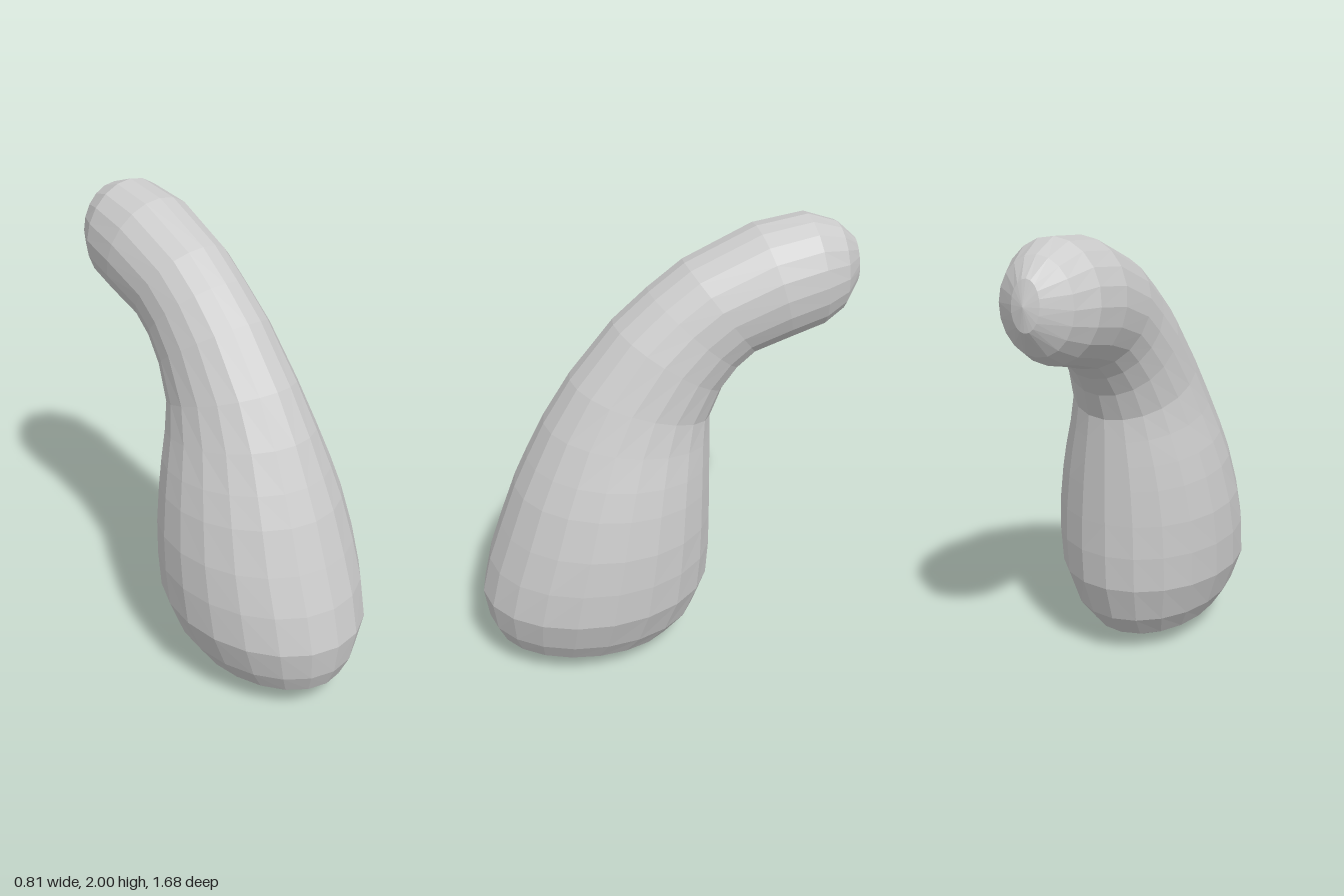
import * as THREE from 'three';

// Cross-sections from base to tip: front z, y, back z, y, half width
const SECTIONS = [
  [0.42, 0.0, 0.42, 0.0, 0],
  [0.58, 0.03, 0.2, 0.015, 0.12],
  [0.7, 0.075, 0.06, 0.045, 0.21],
  [0.78, 0.13, -0.03, 0.09, 0.28],
  [0.82, 0.22, -0.12, 0.2, 0.345],
  [0.84, 0.36, -0.18, 0.37, 0.4],
  [0.8, 0.53, -0.19, 0.53, 0.405],
  [0.74, 0.7, -0.19, 0.68, 0.395],
  [0.67, 0.89, -0.19, 0.84, 0.365],
  [0.61, 1.02, -0.19, 0.95, 0.335],
  [0.53, 1.18, -0.19, 1.06, 0.295],
  [0.41, 1.37, -0.19, 1.16, 0.26],
  [0.22, 1.6, -0.24, 1.28, 0.235],
  [0.07, 1.73, -0.31, 1.37, 0.222],
  [-0.08, 1.84, -0.38, 1.43, 0.222],
  [-0.38, 1.97, -0.52, 1.475, 0.232],
  [-0.6, 2.0, -0.66, 1.515, 0.215],
  [-0.73, 1.955, -0.75, 1.57, 0.16],
  [-0.81, 1.88, -0.83, 1.68, 0.06],
  [-0.84, 1.78, -0.84, 1.78, 0],
];
const SIDES = 20;

// Point on the elliptical ring of section i, starting at the front
function ringPoint(i, j) {
  const [zf, yf, zb, yb, w] = SECTIONS[i];
  const a = ((j % SIDES) / SIDES) * Math.PI * 2;
  const c = Math.cos(a) / 2;
  return [
    w * Math.sin(a),
    (yf + yb) / 2 + (yf - yb) * c,
    (zf + zb) / 2 + (zf - zb) * c,
  ];
}

// Skin the rings; both end rings collapse to a point
function loftGeometry() {
  const pos = [];
  const last = SECTIONS.length - 2;
  for (let i = 0; i <= last; i++) {
    for (let j = 0; j < SIDES; j++) {
      const a = ringPoint(i, j), b = ringPoint(i, j + 1);
      const c = ringPoint(i + 1, j + 1), d = ringPoint(i + 1, j);
      if (i === 0) pos.push(...a, ...c, ...d);
      else if (i === last) pos.push(...a, ...b, ...d);
      // mirror the diagonals so both halves match
      else if (j < SIDES / 2) pos.push(...a, ...b, ...c, ...a, ...c, ...d);
      else pos.push(...a, ...b, ...d, ...b, ...c, ...d);
    }
  }
  const geometry = new THREE.BufferGeometry();
  geometry.setAttribute('position', new THREE.Float32BufferAttribute(pos, 3));
  geometry.computeVertexNormals();
  return geometry;
}

export function createModel() {
  const group = new THREE.Group();
  group.name = 'curvedGourd';
  const material = new THREE.MeshStandardMaterial({ color: 0xcccccc, flatShading: true });
  // Bulbous body bending backward into a rounded neck
  const body = new THREE.Mesh(loftGeometry(), material);
  body.name = 'body';
  group.add(body);
  return group;
}
